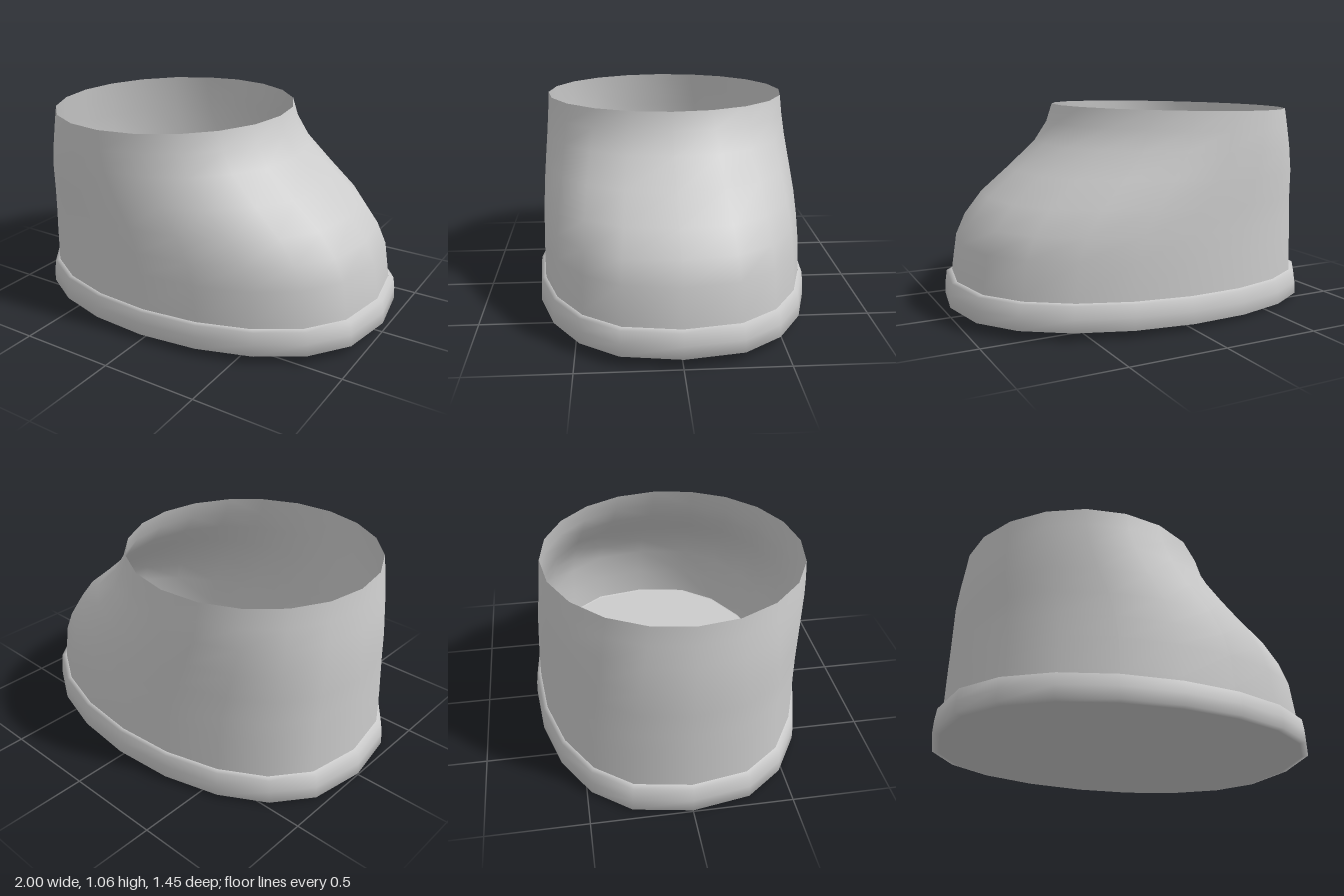
import * as THREE from 'three';

const material = new THREE.MeshStandardMaterial({ color: 0xcccccc, side: THREE.DoubleSide });
const SIDES = 20;

// Skin a list of closed rounded rings: height h, x range, half depth hz, and
// power p (1 is an ellipse, lower is fuller at the corners).
function loft(name, rings) {
  const pos = [], index = [];
  rings.forEach(([h, x0, x1, hz, p], i) => {
    for (let j = 0; j < SIDES; j++) {
      const t = (j / SIDES) * Math.PI * 2, s = Math.sin(t);
      const x = (x0 + x1) / 2 + ((x1 - x0) / 2) * Math.cos(t);
      const z = hz * Math.sign(s) * Math.abs(s) ** p;
      // everything leans up slightly towards the toe, and a touch forward with height
      pos.push(x, 0.025 + h + 0.022 * x, z + 0.012 * h);
      if (i === 0) continue;
      const k = (j + 1) % SIDES, a = (i - 1) * SIDES, b = i * SIDES;
      index.push(a + j, b + j, a + k, a + k, b + j, b + k);
    }
  });
  const geometry = new THREE.BufferGeometry();
  geometry.setAttribute('position', new THREE.Float32BufferAttribute(pos, 3));
  geometry.setIndex(index);
  geometry.computeVertexNormals();
  const mesh = new THREE.Mesh(geometry, material);
  mesh.name = name;
  return mesh;
}

// Ring with the outline of the sole at a given scale and height
const soleRing = ([s, h]) => [h, -s, s, 0.725 * s, 0.78];

export function createModel() {
  const group = new THREE.Group();
  group.name = 'bootie';

  // Open upper, from the sole to the ankle opening
  group.add(loft('upper', [
    [0.01, -0.96, 0.965, 0.695, 0.78],
    [0.16, -0.96, 0.957, 0.695, 0.78],
    [0.33, -0.957, 0.93, 0.692, 0.79],
    [0.44, -0.954, 0.88, 0.688, 0.81],
    [0.56, -0.952, 0.785, 0.683, 0.84],
    [0.69, -0.95, 0.63, 0.675, 0.87],
    [0.825, -0.935, 0.48, 0.665, 0.92],
    [0.93, -0.92, 0.41, 0.657, 0.96],
    [1.026, -0.908, 0.38, 0.65, 1],
  ]));

  // Band around the bottom edge
  group.add(loft('soleBand', [[0.965, 0], [1, 0.008], [0.997, 0.07], [0.988, 0.132], [0.96, 0.14]].map(soleRing)));

  // Flat plate closing the bottom
  group.add(loft('sole', [[0.001, 0], [0.5, 0], [0.965, 0]].map(soleRing)));

  return group;
}
